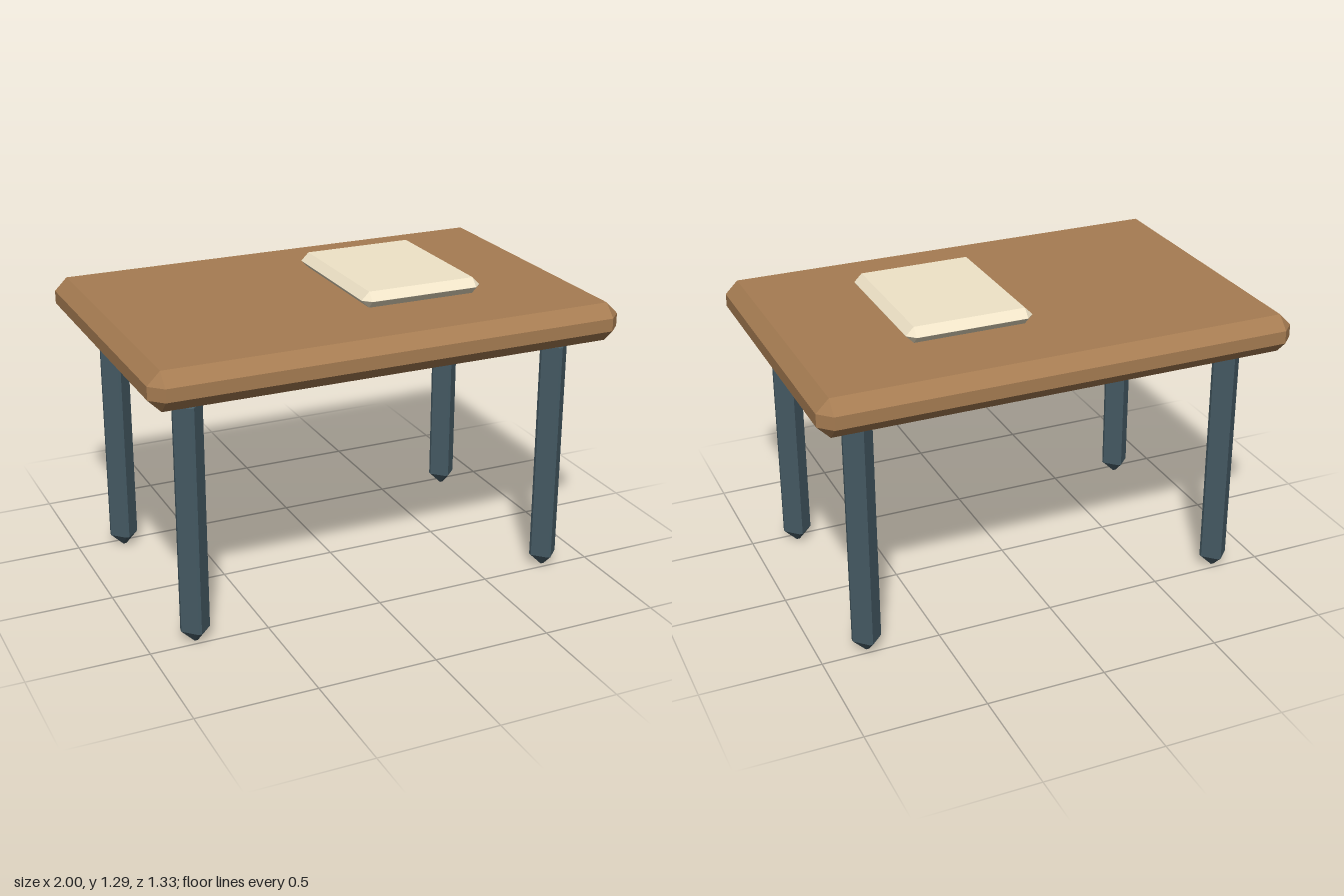
import * as THREE from 'three';
import { ConvexGeometry } from 'three/addons/geometries/ConvexGeometry.js';

// Box with every edge cut at 45 degrees and the corners closed by triangles
function chamferedBox(w, h, d, c) {
  const points = [];
  for (const sx of [-1, 1]) for (const sy of [-1, 1]) for (const sz of [-1, 1]) {
    for (let axis = 0; axis < 3; axis++) {
      const inset = [c, c, c];
      inset[axis] = 0; // this corner point lies on the face along this axis
      points.push(new THREE.Vector3(
        sx * (w / 2 - inset[0]), sy * (h / 2 - inset[1]), sz * (d / 2 - inset[2])));
    }
  }
  return new ConvexGeometry(points);
}

function paint(color) {
  return new THREE.MeshStandardMaterial({ color, flatShading: true });
}

export function createModel() {
  const model = new THREE.Group();
  model.name = 'table';

  function add(name, geometry, material, x, y, z) {
    const mesh = new THREE.Mesh(geometry, material);
    mesh.name = name;
    mesh.position.set(x, y, z);
    model.add(mesh);
  }

  // Wooden top
  add('tabletop', chamferedBox(2, 0.16, 1.333, 0.053), paint(0xa67c52), 0, 1.137, 0);

  // Pad hovering just above the top
  add('pad', chamferedBox(0.533, 0.067, 0.667, 0.033), paint(0xf0e4c8), 0.267, 1.258, 0);

  // Four legs
  const legGeometry = chamferedBox(0.12, 1.067, 0.12, 0.053);
  const legMaterial = paint(0x455a64);
  for (const [side, x] of [['Left', 0.8], ['Right', -0.8]]) {
    add('front' + side + 'Leg', legGeometry, legMaterial, x, 0.5335, 0.467);
    add('back' + side + 'Leg', legGeometry, legMaterial, x, 0.5335, -0.467);
  }
  return model;
}
